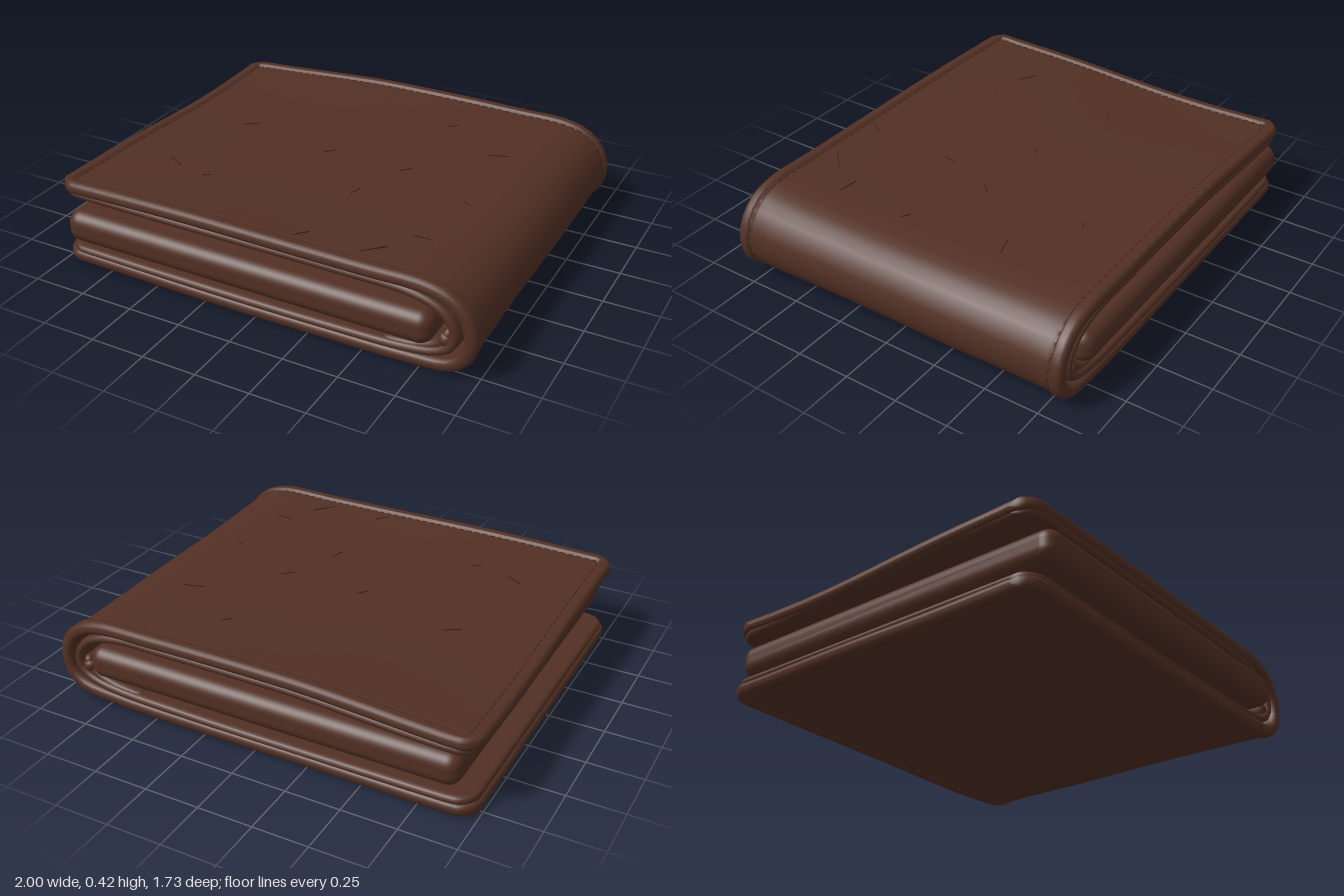
import * as THREE from 'three';
import { mergeGeometries } from 'three/addons/utils/BufferGeometryUtils.js';
import { RoundedBoxGeometry } from 'three/addons/geometries/RoundedBoxGeometry.js';

const INSETS = [0, 0.002, 0.007, 0.014, 0.025, 0.045, 0.055, 0.062, 0.069, 0.08];
const { smoothstep } = THREE.MathUtils;

// The back corner of the top flap droops; d is the distance from the flap's free edge
const droop = (d, z) => -0.045 * (1 - smoothstep(d, 0, 0.9)) * (1 - smoothstep(z, -0.7, 0.6));
// The middle of the top flap sags slightly below its rim
const sag = (d, z) => -0.019 * (1 - (z / 0.832) ** 2) * (1 - smoothstep(d, 1.65, 2.1));

// A soft leather sheet that follows a side profile, with domed edges and rounded corners
function leatherSheet(points, { half, width, zMid = -0.012, rim = 0, corner = 0.1, wave = 0, drape = () => 0 }) {
  const curve = new THREE.CatmullRomCurve3(points.map(([x, y]) => new THREE.Vector3(x, y, 0)), false, 'centripetal');
  curve.arcLengthDivisions = 600;
  const length = curve.getLength();

  // Point on the sheet: d along the profile, z across, side +1 outside or -1 inside, e from the nearest edge
  const pointAt = (d, z, side, e) => {
    const u = THREE.MathUtils.clamp(d / length, 0, 1);
    const p = curve.getPointAt(u), t = curve.getTangentAt(u);
    const dome = Math.sqrt(Math.max(0, 1 - (1 - Math.min(e / 0.025, 1)) ** 2));
    let off = side * half * dome;
    if (side > 0 && rim) {
      if (e < 0.056) off += rim * dome;
      else if (e < 0.068) off -= rim * 0.5;
    }
    off += wave * Math.sin(d * 3.1 + z * 2.3) * Math.cos(z * 4.2 - d * 1.7);
    return {
      p: new THREE.Vector3(p.x - t.y * off, p.y + t.x * off + drape(d, z), z + zMid),
      angle: Math.atan2(t.y, t.x),
    };
  };

  // Stations along the profile, closer together at both ends
  const steps = 90, stations = [...INSETS];
  for (let i = 1; i < steps; i++) stations.push(0.08 + (length - 0.16) * i / steps);
  stations.push(...INSETS.map(d => length - d).reverse());

  const positions = [], index = [];
  let ring = 0;
  for (const d of stations) {
    const end = Math.min(d, length - d);
    const cut = end < corner ? corner - Math.sqrt(corner ** 2 - (corner - end) ** 2) : 0;
    const w = width - cut;
    const row = INSETS.map(e => [-w + e, e]);
    for (let k = 1; k < 16; k++) row.push([(w - 0.08) * (k / 8 - 1), 0.1]);
    row.push(...INSETS.map(e => [w - e, e]).reverse());
    const loop = [...row.map(r => [...r, 1]), ...row.slice(1, -1).reverse().map(r => [...r, -1])];
    ring = loop.length;
    for (const [z, e, side] of loop) positions.push(...pointAt(d, z, side, Math.min(e, end)).p.toArray());
  }
  for (let i = 0; i < stations.length - 1; i++) {
    for (let j = 0; j < ring; j++) {
      const a = i * ring + j, b = i * ring + (j + 1) % ring;
      index.push(a, b, a + ring, b, b + ring, a + ring);
    }
  }
  const geometry = new THREE.BufferGeometry();
  geometry.setAttribute('position', new THREE.Float32BufferAttribute(positions, 3));
  geometry.setIndex(index);
  geometry.computeVertexNormals();
  return { geometry, length, pointAt };
}

export function createModel() {
  const group = new THREE.Group();
  const leather = new THREE.MeshStandardMaterial({ color: 0x523024 });
  leather.name = 'brown leather';
  const thread = new THREE.MeshStandardMaterial({ color: 0x38201a });
  thread.name = 'dark thread';
  const add = (name, geometry, material = leather) => {
    const mesh = new THREE.Mesh(geometry, material);
    mesh.name = name;
    group.add(mesh);
    return mesh;
  };

  // Outer cover: top flap, rounded fold on the left side, bottom flap
  const cover = leatherSheet([
    [-0.998, 0.384], [-0.6, 0.388], [0, 0.388], [0.5, 0.385], [0.78, 0.38], [0.88, 0.345],
    [0.945, 0.27], [0.96, 0.19], [0.94, 0.115], [0.88, 0.068], [0.7, 0.048], [0.3, 0.04],
    [-0.4, 0.04], [-0.998, 0.044],
  ], { half: 0.025, width: 0.832, rim: 0.009, wave: 0.004, drape: (d, z) => droop(d, z) + sag(d, z) });
  add('cover', cover.geometry);

  // Lining inside the cover
  add('lining', leatherSheet([
    [-0.985, 0.356], [-0.85, 0.355], [-0.5, 0.352], [0.4, 0.352], [0.7, 0.345], [0.82, 0.31],
    [0.885, 0.25], [0.9, 0.19], [0.88, 0.14], [0.82, 0.105], [0.7, 0.083], [0.3, 0.07],
    [-0.6, 0.07], [-0.985, 0.074],
  ], { half: 0.021, width: 0.824, drape: droop }).geometry);

  // Curled gusset and seam roll inside the fold
  add('gusset', leatherSheet([[0.58, 0.078], [0.74, 0.1], [0.83, 0.14], [0.875, 0.21]],
    { half: 0.022, width: 0.81, corner: 0.03 }).geometry);
  const roll = add('seamRoll', new THREE.CapsuleGeometry(0.034, 1.57, 6, 14));
  roll.rotation.x = Math.PI / 2;
  roll.position.set(0.857, 0.165, -0.012);

  // Folded card pocket between the flaps
  const pocket = add('cardPocket', new RoundedBoxGeometry(1.75, 0.15, 1.73, 6, 0.06));
  pocket.position.set(-0.055, 0.218, 0);

  // Stitches around the rim of the cover
  const marks = [];
  const addMark = (d, z, long, turn, thin = 0.008, e = 0.062) => {
    const { p, angle } = cover.pointAt(d, z, 1, e);
    const matrix = new THREE.Matrix4().makeRotationZ(angle)
      .multiply(new THREE.Matrix4().makeRotationY(turn)).setPosition(p);
    marks.push(new THREE.BoxGeometry(long, 0.006, thin).applyMatrix4(matrix));
  };
  const edge = 0.832 - 0.062;
  for (let d = 0.08; d < cover.length - 0.07; d += 0.04) {
    for (const side of [-1, 1]) addMark(d, side * edge, 0.026, 0.15 * side);
  }
  for (let z = -edge + 0.02; z < edge; z += 0.04) {
    for (const d of [0.062, cover.length - 0.062]) addMark(d, z, 0.026, Math.PI / 2 + 0.15);
  }
  add('stitches', mergeGeometries(marks.splice(0)), thread);

  // Fine creases on the top flap: x, z, length, turn
  const creases = [
    [-0.57, -0.12, 0.08, 0.6], [-0.09, -0.02, 0.05, 0.9], [0.31, -0.52, 0.05, 0.7], [0.61, -0.33, 0.1, 0.3],
    [0.3, -0.02, 0.06, 0.8], [0.19, 0.26, 0.06, 1.3], [-0.65, 0.4, 0.09, -0.5], [-0.45, 0.45, 0.04, 0.6],
    [0.17, 0.7, 0.07, 0.9], [0.48, 0.67, 0.12, 0.8], [0.66, 0.14, 0.04, -0.5], [0.62, 0.49, 0.09, -0.05],
  ];
  for (const [x, z, long, turn] of creases) addMark(x + 0.998, z + 0.012, long, turn, 0.004, 0.1);
  add('creases', mergeGeometries(marks), thread);

  return group;
}
